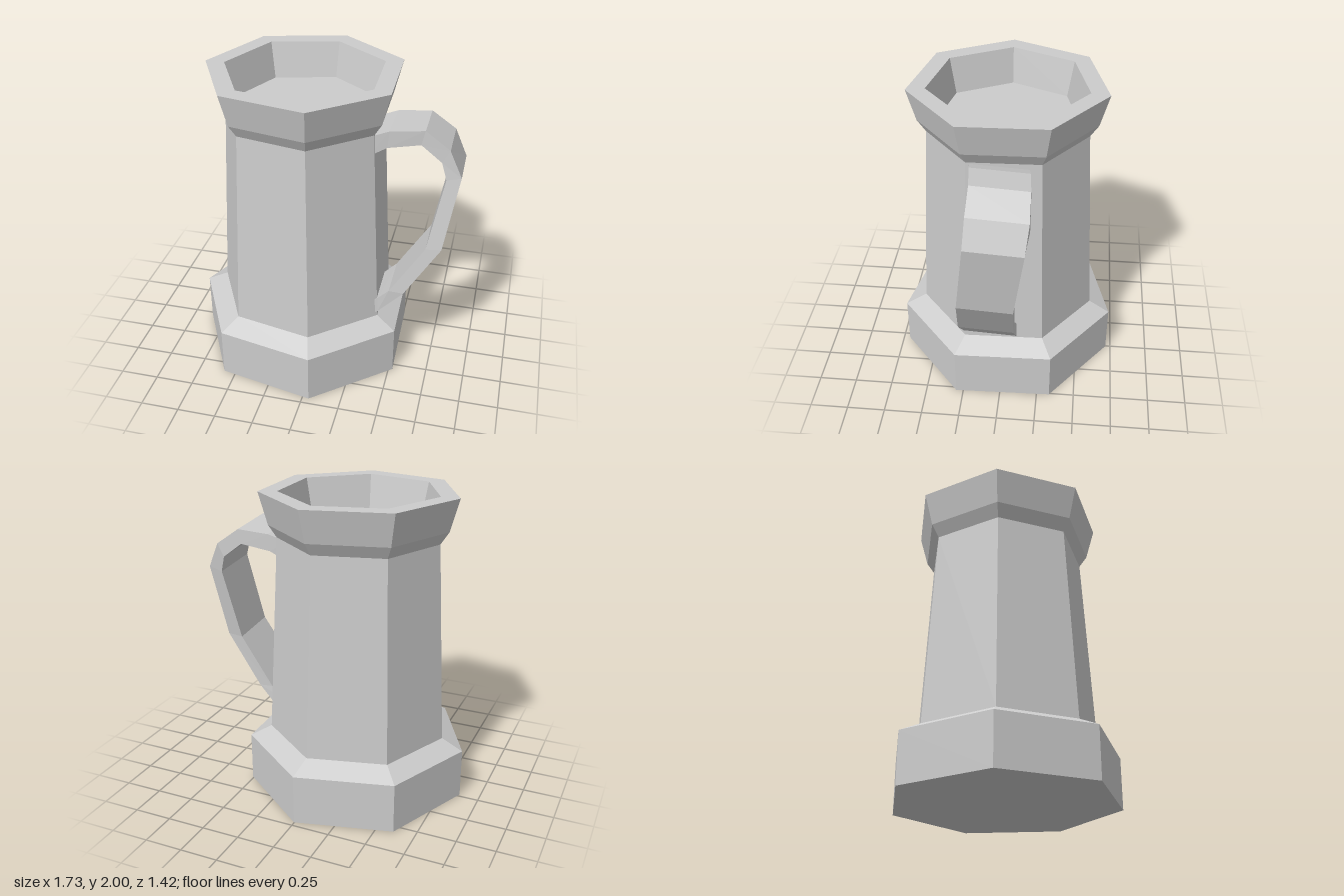
import * as THREE from 'three';

const material = new THREE.MeshStandardMaterial({ color: 0xcccccc, flatShading: true });

// Seven-sided tankard: base, tapering wall, flared rim and shallow inner floor
function createBody() {
  const profile = [
    [0, 0], [0.73, 0], [0.73, 0.33], [0.59, 0.4], [0.52, 1.71],
    [0.572, 1.79], [0.63, 2], [0.51, 2], [0.46, 1.77], [0, 1.77],
  ].map(([r, y]) => new THREE.Vector2(r, y));
  const geometry = new THREE.LatheGeometry(profile, 7, -Math.PI / 2 + 0.028);
  const body = new THREE.Mesh(geometry, material);
  body.name = 'mugBody';
  body.position.x = -0.14;
  return body;
}

// Slightly twisted strap handle, swept through four-cornered sections
function createHandle() {
  // outer x, outer y, inner x, inner y, front z, back z
  const sections = [
    [0.30, 1.69, 0.30, 1.56, 0.20, -0.16],
    [0.42, 1.73, 0.41, 1.62, 0.18, -0.18],
    [0.63, 1.745, 0.61, 1.65, 0.155, -0.195],
    [0.785, 1.635, 0.74, 1.55, 0.16, -0.20],
    [0.865, 1.465, 0.775, 1.44, 0.17, -0.18],
    [0.785, 0.975, 0.685, 0.965, 0.23, -0.11],
    [0.565, 0.62, 0.47, 0.625, 0.26, -0.095],
    [0.40, 0.44, 0.40, 0.55, 0.25, -0.10],
    [0.36, 0.41, 0.36, 0.51, 0.25, -0.10],
  ];
  const drop = 0.025; // back edge sits a little lower
  const positions = [];
  const index = [];
  sections.forEach(([ox, oy, ix, iy, front, back], i) => {
    positions.push(ox, oy, front, ox - 0.005, oy - drop, back);
    positions.push(ix - 0.005, iy - drop, back, ix, iy, front);
    if (i === 0) return;
    for (let j = 0; j < 4; j++) {
      const k = (j + 1) % 4;
      const a = (i - 1) * 4 + j, b = i * 4 + j, c = i * 4 + k, d = (i - 1) * 4 + k;
      index.push(a, b, c, a, c, d);
    }
  });
  const e = (sections.length - 1) * 4;
  index.push(0, 1, 2, 0, 2, 3, e, e + 2, e + 1, e, e + 3, e + 2);

  const geometry = new THREE.BufferGeometry();
  geometry.setAttribute('position', new THREE.Float32BufferAttribute(positions, 3));
  geometry.setIndex(index);
  geometry.computeVertexNormals();
  const handle = new THREE.Mesh(geometry, material);
  handle.name = 'handle';
  return handle;
}

export function createModel() {
  const group = new THREE.Group();
  group.name = 'tankard';
  group.add(createBody(), createHandle());
  return group;
}
